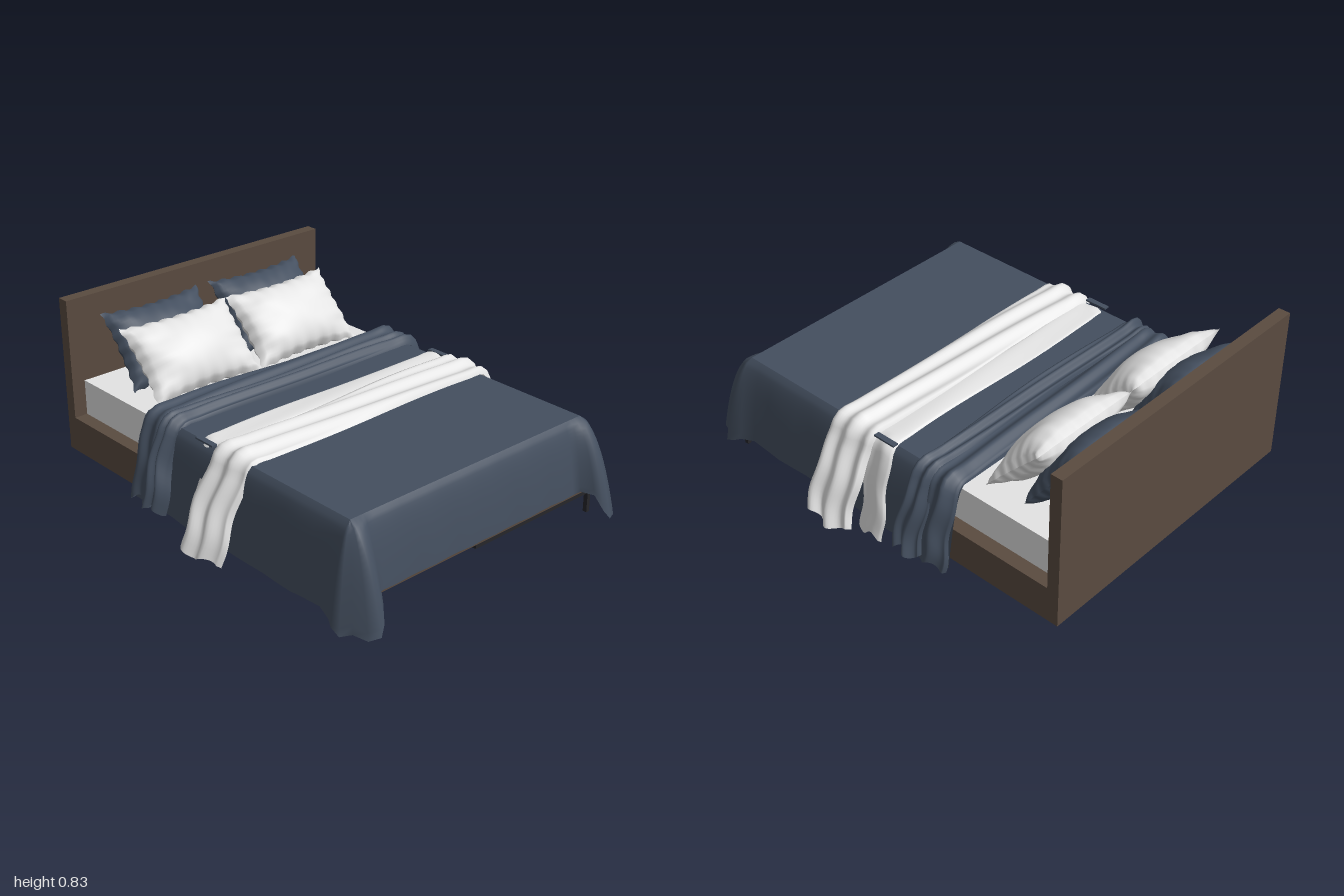
import * as THREE from 'three';
import { mergeGeometries } from 'three/addons/utils/BufferGeometryUtils.js';

const mat = (name, color, side = THREE.FrontSide) => {
  const m = new THREE.MeshStandardMaterial({ color, side });
  m.name = name;
  return m;
};

// Smooth grid surface: fn(u, v) with u, v in 0..1; the front faces du x dv
function surface(fn, nu, nv) {
  const pos = [], idx = [];
  for (let j = 0; j <= nv; j++)
    for (let i = 0; i <= nu; i++) pos.push(...fn(i / nu, j / nv));
  for (let j = 0; j < nv; j++)
    for (let i = 0; i < nu; i++) {
      const a = j * (nu + 1) + i, b = a + 1, c = a + nu + 1, d = c + 1;
      idx.push(a, b, d, a, d, c);
    }
  const g = new THREE.BufferGeometry();
  g.setAttribute('position', new THREE.Float32BufferAttribute(pos, 3));
  g.setIndex(idx);
  g.computeVertexNormals();
  return g;
}

// Box given by its lower and upper corners
function block(x0, x1, y0, y1, z0, z1) {
  const g = new THREE.BoxGeometry(x1 - x0, y1 - y0, z1 - z0);
  return g.translate((x0 + x1) / 2, (y0 + y1) / 2, (z0 + z1) / 2);
}

const CX = -0.012;      // middle of the bed across
const HW = 0.655;       // half width of the mattress
const TOP = 0.46;       // height of the duvet

// Plump cushion with drawn-out corners and light creases
function pillowGeometry(w, h, t, seed) {
  const half = (side) => surface((a, b) => {
    const u = (a * 2 - 1) * side, v = b * 2 - 1;
    const x = (w / 2) * u * (1 - 0.07 * (1 - v * v)) + 0.005 * Math.sin(19 * v + seed) * u * u;
    const y = (h / 2) * v * (1 - 0.1 * (1 - u * u)) + 0.005 * Math.sin(23 * u + seed) * v * v;
    const puff = Math.pow(Math.max(0, (1 - u * u) * (1 - v * v)), 0.5);
    const crease = 1 + 0.06 * Math.sin(7 * u + 4 * v + seed) * Math.abs(u) + 0.04 * Math.sin(11 * u * v + seed * 2);
    return [x, y, side * t * puff * crease];
  }, 36, 28);
  return mergeGeometries([half(1), half(-1)]);
}

// Duvet skirt: rim stations from the back of the side, round the corner, to the middle of the foot
// each station: rim x, rim z, outward angle in degrees, flare, hem height
function skirtStations() {
  const half = [];
  for (let i = 0; i <= 14; i++) {
    const z = -0.46 + i * 0.085;
    half.push([HW, z, 0, 0.095 + 0.004 * Math.sin(i * 1.7), 0.085 + 0.004 * Math.sin(i)]);
  }
  half.push(
    [HW, 0.8, 0, 0.11, 0.075], [HW, 0.8, 14, 0.13, 0.06], [HW, 0.8, 32, 0.15, 0.04],
    [HW, 0.8, 52, 0.13, 0.04], [HW, 0.8, 70, 0.18, 0.035], [HW, 0.8, 86, 0.19, 0.04],
    [0.64, 0.8, 90, 0.175, 0.08], [0.615, 0.8, 90, 0.14, 0.15], [0.59, 0.8, 90, 0.085, 0.155]);
  for (let i = 0; i <= 8; i++)
    half.push([0.55 * (1 - i / 8), 0.8, 90, 0.078 + 0.003 * Math.sin(i * 2), 0.15]);
  const mirrored = half.slice(0, -1).reverse().map(([x, z, a, r, y]) => [-x, z, 180 - a, r, y]);
  return [...half, ...mirrored];
}

function duvetGeometry() {
  const st = skirtStations(), n = st.length - 1, rows = 16;
  const skirt = surface((u, v) => {
    const [x, z, deg, flare, hem] = st[Math.round((1 - u) * n)];
    const a = THREE.MathUtils.degToRad(deg), s = 1 - v;
    const out = flare * Math.pow(s, 0.6);
    const y = TOP - (TOP - hem) * (s * s * 0.25 + s * 0.75);
    return [CX + x + Math.cos(a) * out, y, z + Math.sin(a) * out];
  }, n, rows);
  const top = surface((u, v) => [CX + HW * (2 * u - 1), TOP, 0.8 - 1.26 * v], 8, 8);
  return mergeGeometries([skirt, top]);
}

// Strip of cloth laid across the bed and hanging down both sides
function bandGeometry({ z0, z1, reach, hem, lift, folds, seed, spread = 0.01 }) {
  const over = [[HW - 0.1, TOP + 0.002], [HW + 0.005, TOP - 0.004], [HW + 0.04, TOP - 0.07],
    [(HW + reach) / 2 + 0.025, (TOP + hem) / 2 - 0.02], [reach, hem]];
  const pts = [...over.slice().reverse().map(([x, y]) => [-x, y]), [0, TOP + 0.002], ...over];
  const curve = new THREE.CatmullRomCurve3(pts.map(([x, y]) => new THREE.Vector3(x, y, 0)), false, 'centripetal');
  return surface((u, v) => {
    const p = curve.getPointAt(u), t = curve.getTangentAt(u);
    const hang = THREE.MathUtils.smoothstep(Math.abs(p.x), HW - 0.05, reach);
    const w = v * 2 - 1;
    const ridge = 0.7 + 0.3 * Math.cos(folds * Math.PI * w + seed + 2.2 * Math.sin(u * 5 + seed));
    const h = lift * Math.pow(1 - w * w, 0.35) * ridge * (1 + 0.5 * hang);
    const z = THREE.MathUtils.lerp(z1, z0, v) + 0.008 * Math.sin(u * 11 + seed) + spread * hang * -w
      + 0.008 * hang * Math.sin(p.y * 26 + seed);
    const drop = hang * 0.018 * Math.sin(w * 4 + seed);
    return [p.x - t.y * h, p.y + t.x * h + drop, z];
  }, 90, 24);
}

export function createModel() {
  const wood = mat('brown wood', 0x5a4b40);
  const white = mat('white linen', 0xe4e4e4, THREE.DoubleSide);
  const navy = mat('navy fabric', 0x444f5f, THREE.DoubleSide);
  const metal = mat('dark metal', 0x26262a);

  const bed = new THREE.Group();
  bed.name = 'bed';
  const add = (name, geometry, material) => {
    const m = new THREE.Mesh(geometry, material);
    m.name = name;
    bed.add(m);
    return m;
  };

  // Wooden frame
  add('headboard', block(-0.73, 0.706, 0.105, 0.828, -1, -0.945), wood);
  add('bedBase', block(-0.73, 0.706, 0.105, 0.27, -0.945, 0.835), wood);

  // Support bar and leg under the foot
  add('supportBar', block(-0.01, 0.68, 0.087, 0.105, 0.815, 0.835), metal);
  add('leg', block(0.68, 0.698, 0, 0.105, 0.825, 0.845), metal);

  // Mattress and duvet
  add('mattress', block(CX - HW, CX + HW, 0.27, 0.435, -0.945, 0.79), white);
  add('duvet', duvetGeometry(), navy);

  // Turned-back duvet folds
  add('backFold', bandGeometry({ z0: -0.45, z1: -0.32, reach: 0.76, hem: 0.1, lift: 0.034, folds: 1.5, seed: 1 }), navy);
  add('frontFold', bandGeometry({ z0: -0.34, z1: -0.22, reach: 0.78, hem: 0.11, lift: 0.04, folds: 2, seed: 2.6 }), navy);

  // White throw: flat under layer, gathered upper layer
  add('throwUnderLayer', bandGeometry({ z0: -0.1, z1: 0.03, reach: 0.765, hem: 0.04, lift: 0.012, folds: 0.5, seed: 0.4, spread: 0 }), white);
  add('throwUpperLayer', bandGeometry({ z0: 0.005, z1: 0.235, reach: 0.84, hem: 0.065, lift: 0.042, folds: 2.2, seed: 4 }), white);

  // Narrow gaps where the duvet shows through the throw
  for (const x of [-0.68, 0.66])
    add('throwGap', block(x - 0.013, x + 0.013, 0.467, 0.475, -0.1, 0.01), navy);

  // Pillows, leaning back in two rows
  const pillow = (name, x, y, z, tilt, w, h, t, material, seed) => {
    const m = add(name, pillowGeometry(w, h, t, seed), material);
    m.position.set(x, y, z);
    m.rotation.x = -tilt;
  };
  pillow('rightFrontPillow', -0.3, 0.575, -0.632, 0.76, 0.58, 0.38, 0.1, white, 0.5);
  pillow('leftFrontPillow', 0.277, 0.575, -0.632, 0.76, 0.57, 0.38, 0.1, white, 2.3);
  pillow('rightBackPillow', -0.313, 0.585, -0.802, 0.66, 0.53, 0.38, 0.095, navy, 3.7);
  pillow('leftBackPillow', 0.287, 0.585, -0.802, 0.66, 0.53, 0.38, 0.095, navy, 5.1);

  return bed;
}
